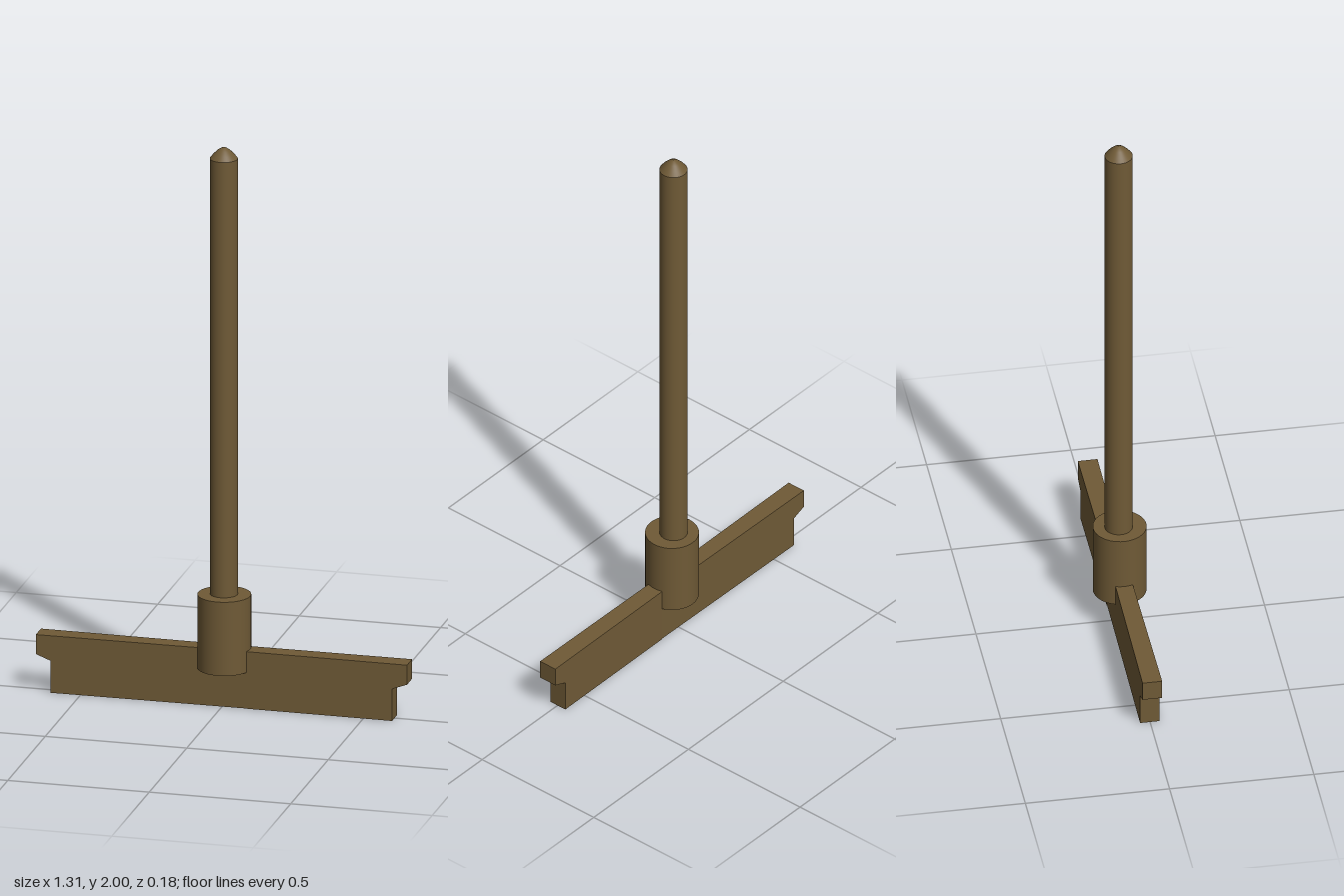
import * as THREE from 'three';

export function createModel() {
  const group = new THREE.Group();
  const wood = new THREE.MeshStandardMaterial({ color: 0x6f5a36 });
  wood.name = 'brown wood';

  const add = (name, geometry, x = 0, y = 0, z = 0) => {
    const mesh = new THREE.Mesh(geometry, wood);
    mesh.name = name;
    mesh.position.set(x, y, z);
    group.add(mesh);
  };

  // Blade outline with an overhanging lip at its outer end; thickness tapers toward the hub
  const blade = (inner, shoulder, tip, innerHalf, tipHalf) => {
    const points = [[inner, 0], [shoulder, 0], [shoulder, 0.115], [tip, 0.135], [tip, 0.205], [inner, 0.205]];
    const shape = new THREE.Shape(points.map(([x, y]) => new THREE.Vector2(x, y)));
    const geometry = new THREE.ExtrudeGeometry(shape, { depth: 2, bevelEnabled: false });
    geometry.translate(0, 0, -1);
    const p = geometry.attributes.position;
    for (let i = 0; i < p.count; i++) {
      const t = (p.getX(i) - inner) / (tip - inner);
      p.setZ(i, p.getZ(i) * THREE.MathUtils.lerp(innerHalf, tipHalf, t) - 0.001);
    }
    geometry.computeVertexNormals();
    return geometry;
  };
  add('rightBlade', blade(0.09, -0.605, -0.657, 0.029, 0.034));
  add('leftBlade', blade(0.088, 0.602, 0.655, 0.031, 0.034));

  // Hub collar
  add('hub', new THREE.CylinderGeometry(0.092, 0.092, 0.265, 48), 0, 0.2625, -0.002);

  // Handle rod, slightly off the hub axis
  add('handle', new THREE.CylinderGeometry(0.048, 0.048, 1.6, 40, 1, true), -0.003, 1.16, -0.006);

  // Rounded tip
  const tip = [[0.048, 0], [0.036, 0.015], [0.022, 0.029], [0.01, 0.037], [0, 0.04]];
  add('handleTip', new THREE.LatheGeometry(tip.map(([r, y]) => new THREE.Vector2(r, y)), 40), -0.003, 1.96, -0.006);

  return group;
}
